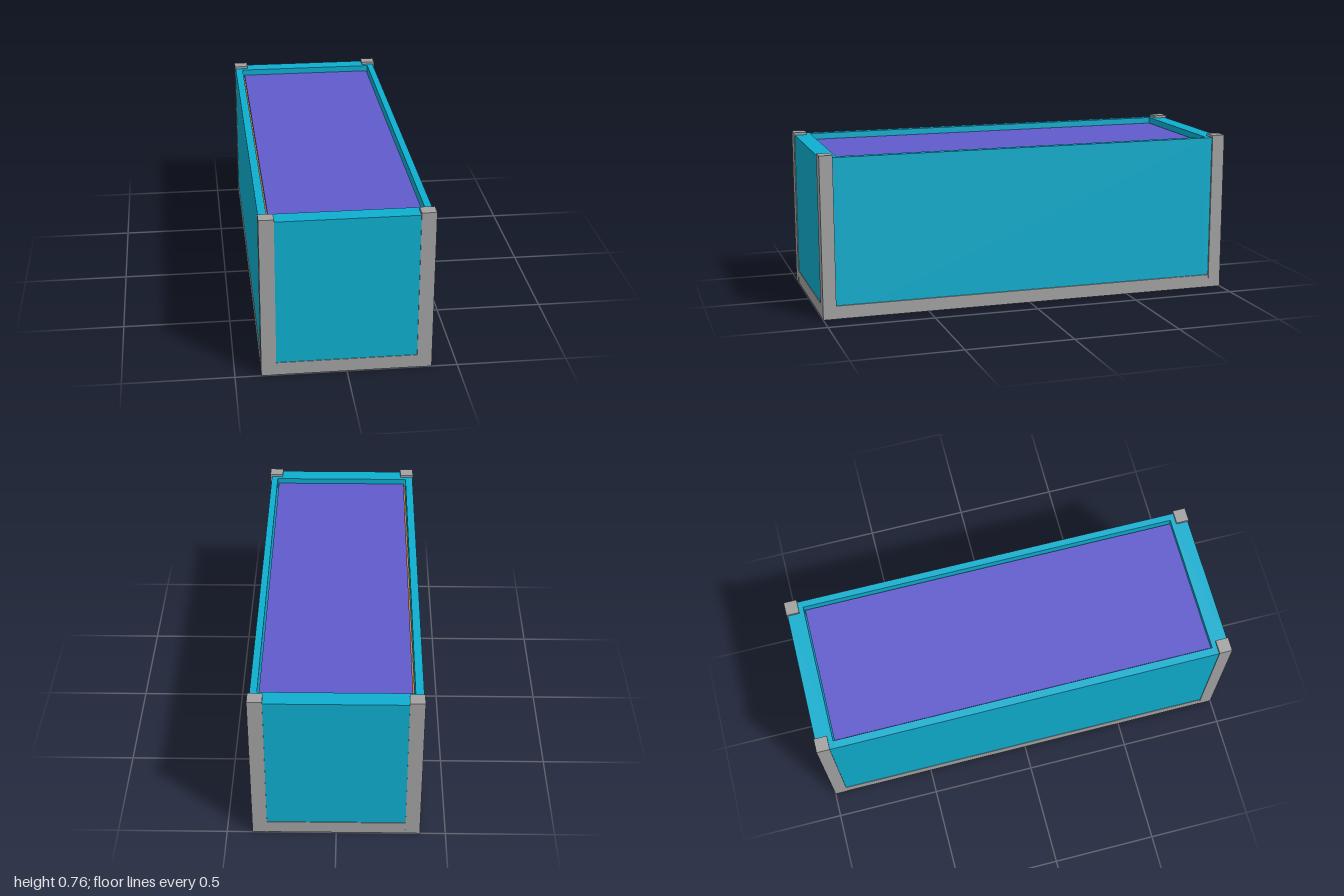
import * as THREE from 'three';

export function createModel() {
  const model = new THREE.Group();
  model.name = 'container';

  const material = (name, color) => {
    const m = new THREE.MeshStandardMaterial({ color });
    m.name = name;
    return m;
  };
  const grey = material('frame grey', 0xa2a2a2);
  const teal = material('panel teal', 0x0eaecf);
  const purple = material('filling purple', 0x615acd);
  const orange = material('lining orange', 0xc87a2a);

  // Box given by its lower and upper bounds on each axis
  const box = (name, mat, [x0, x1], [y0, y1], [z0, z1]) => {
    const mesh = new THREE.Mesh(new THREE.BoxGeometry(x1 - x0, y1 - y0, z1 - z0), mat);
    mesh.name = name;
    mesh.position.set((x0 + x1) / 2, (y0 + y1) / 2, (z0 + z1) / 2);
    model.add(mesh);
  };
  // Range on the positive or negative side of an axis
  const side = (s, a, b) => (s > 0 ? [a, b] : [-b, -a]);

  const X = 0.383, Z = 1, postX = 0.316, postZ = 0.938;
  const H = 0.765, rail = 0.062, rim = 0.753;

  for (const s of [-1, 1]) {
    const lr = s > 0 ? 'left' : 'right';
    const fb = s > 0 ? 'front' : 'back';

    // Corner posts
    for (const t of [-1, 1]) {
      box(`${t > 0 ? 'front' : 'back'}${s > 0 ? 'Left' : 'Right'}Post`, grey,
        side(s, postX, X), [0, H], side(t, postZ, Z));
    }

    // Bottom rails
    box(`${lr}Rail`, grey, side(s, postX, X - 0.001), [0, rail], [-postZ, postZ]);
    box(`${fb}Rail`, grey, [-postX, postX], [0, rail], side(s, postZ, Z - 0.001));

    // Wall panels, set slightly behind the frame
    box(`${lr}Wall`, teal, side(s, 0.343, s > 0 ? 0.375 : 0.38), [0.01, rim], [-0.915, 0.915]);
    box(`${fb}Wall`, teal, [-0.38, 0.375], [0.01, rim], side(s, 0.915, 0.996));
  }

  // Floor, filling and the thin lining beside it
  box('floor', teal, [-0.343, 0.343], [0.004, 0.05], [-0.94, 0.94]);
  box('filling', purple, [-0.333, 0.337], [0.05, 0.725], [-0.91, 0.915]);
  box('lining', orange, [-0.341, -0.333], [0.05, 0.71], [-0.91, 0.915]);

  return model;
}
